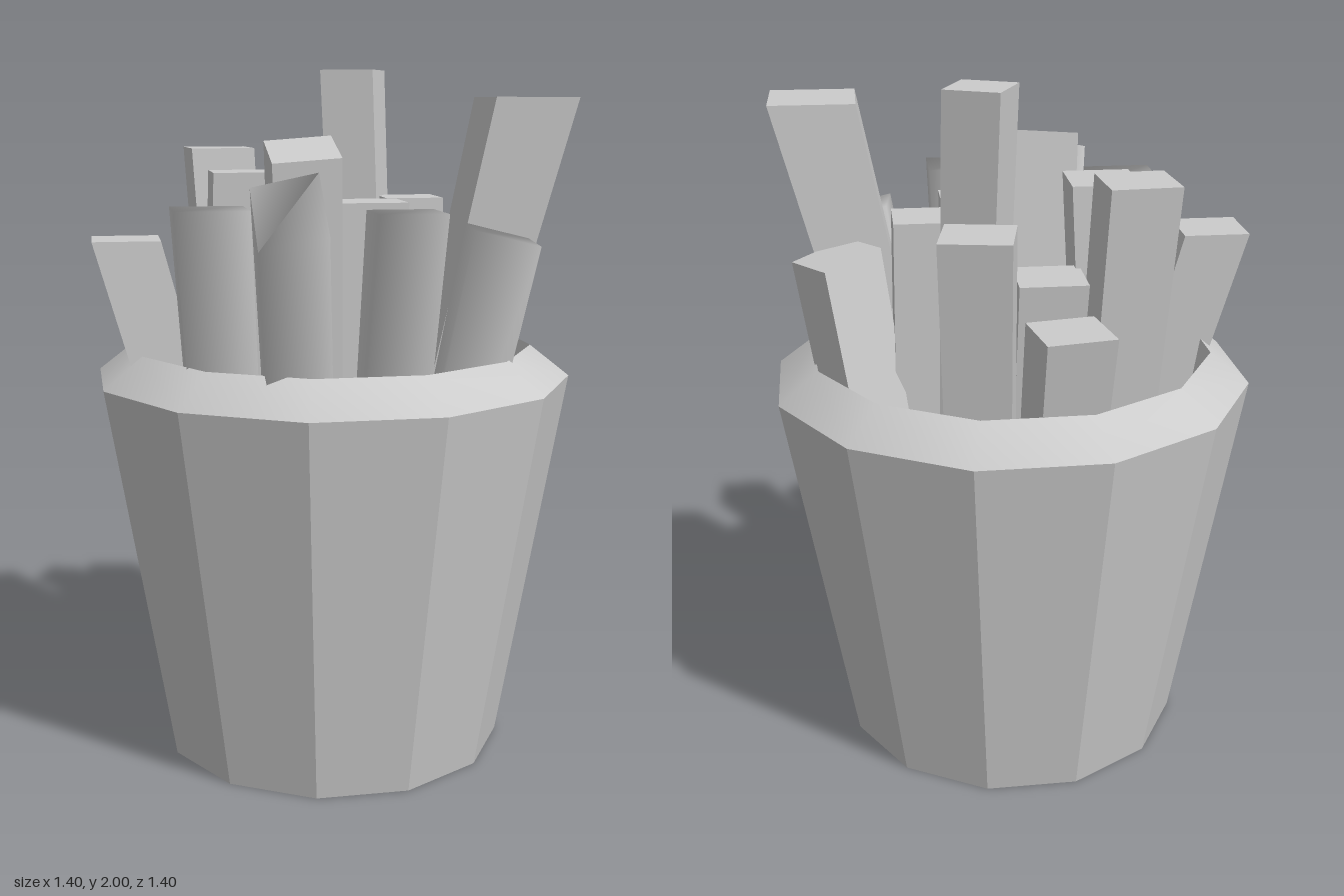
import * as THREE from 'three';
import { mergeVertices, toCreasedNormals } from 'three/addons/utils/BufferGeometryUtils.js';

const material = new THREE.MeshStandardMaterial({ color: 0xcccccc });
const FLOOR = 0.1;

// Twelve-sided bucket with a bevelled rim and hollow inside
function makeBucket() {
  const profile = [[0, 0], [0.51, 0], [0.7, 1.12], [0.585, 1.21], [0.42, FLOOR], [0, FLOOR]]
    .map(([r, y]) => new THREE.Vector2(r, y));
  const geometry = toCreasedNormals(new THREE.LatheGeometry(profile, 12), THREE.MathUtils.degToRad(25));
  const bucket = new THREE.Mesh(geometry, material);
  bucket.name = 'bucket';
  return bucket;
}

// Tapered leaning stick: box whose ends are turned, scaled and moved to foot and top
function makeFry({ top, foot, size, footSize = size * 0.85, turn = 14, tilt = [0, 0], smooth = false }) {
  let geometry = new THREE.BoxGeometry(1, 1, 1);
  const a = THREE.MathUtils.degToRad(turn);
  const p = geometry.attributes.position;
  for (let i = 0; i < p.count; i++) {
    const isTop = p.getY(i) > 0;
    const s = isTop ? size : footSize;
    const dx = s * (p.getX(i) * Math.cos(a) + p.getZ(i) * Math.sin(a));
    const dz = s * (p.getZ(i) * Math.cos(a) - p.getX(i) * Math.sin(a));
    if (isTop) p.setXYZ(i, top[0] + dx, top[1] + tilt[0] * dx + tilt[1] * dz, top[2] + dz);
    else p.setXYZ(i, foot[0] + dx, FLOOR, foot[1] + dz);
  }
  if (smooth) {
    geometry.deleteAttribute('normal');
    geometry.deleteAttribute('uv');
    geometry = mergeVertices(geometry);
  }
  geometry.computeVertexNormals();
  const fry = new THREE.Mesh(geometry, material);
  fry.name = smooth ? 'softFry' : 'fry';
  return fry;
}

const FRIES = [
  // back row
  { top: [-0.22, 1.42, -0.46], foot: [-0.12, -0.22], size: 0.19, turn: 24 },
  { top: [0.02, 1.67, -0.47], foot: [0.04, -0.28], size: 0.19, turn: 4 },
  { top: [0.46, 1.52, -0.2], foot: [0.2, -0.36], size: 0.18, turn: -45, tilt: [-0.2, 0.1] },
  // middle
  { top: [-0.37, 1.77, -0.255], foot: [-0.26, -0.14], size: 0.19, turn: 18 },
  { top: [-0.135, 1.48, -0.19], foot: [-0.06, -0.06], size: 0.19 },
  { top: [0.045, 2, -0.24], foot: [0.13, -0.08], size: 0.16, turn: -10 },
  { top: [0.22, 1.63, -0.16], foot: [0.26, -0.14], size: 0.17 },
  { top: [0.555, 1.92, -0.02], foot: [0.13, 0], size: 0.24, footSize: 0.13 },
  { top: [-0.255, 1.71, 0.01], foot: [-0.33, -0.04], size: 0.19 },
  { top: [0.115, 1.63, 0.06], foot: [0.1, 0.01], size: 0.19 },
  { top: [-0.565, 1.53, 0.2], foot: [-0.18, 0.15], size: 0.19 },
  { top: [-0.06, 1.78, 0.24], foot: [-0.05, 0.1], size: 0.19, tilt: [0, -0.3] },
  // front row with softened edges
  { top: [-0.29, 1.63, 0.415], foot: [-0.26, 0.14], size: 0.2, smooth: true },
  { top: [-0.06, 1.635, 0.57], foot: [-0.05, 0.17], size: 0.18, tilt: [0, -0.85], smooth: true },
  { top: [0.235, 1.63, 0.48], foot: [0.12, 0.13], size: 0.18, smooth: true },
  { top: [0.49, 1.55, 0.21], foot: [0.2, 0.14], size: 0.18, turn: 8, tilt: [-0.25, 0], smooth: true },
];

export function createModel() {
  const model = new THREE.Group();
  model.name = 'bucketOfFries';
  const fries = new THREE.Group();
  fries.name = 'fries';
  FRIES.forEach((spec) => fries.add(makeFry(spec)));
  model.add(makeBucket(), fries);
  return model;
}
